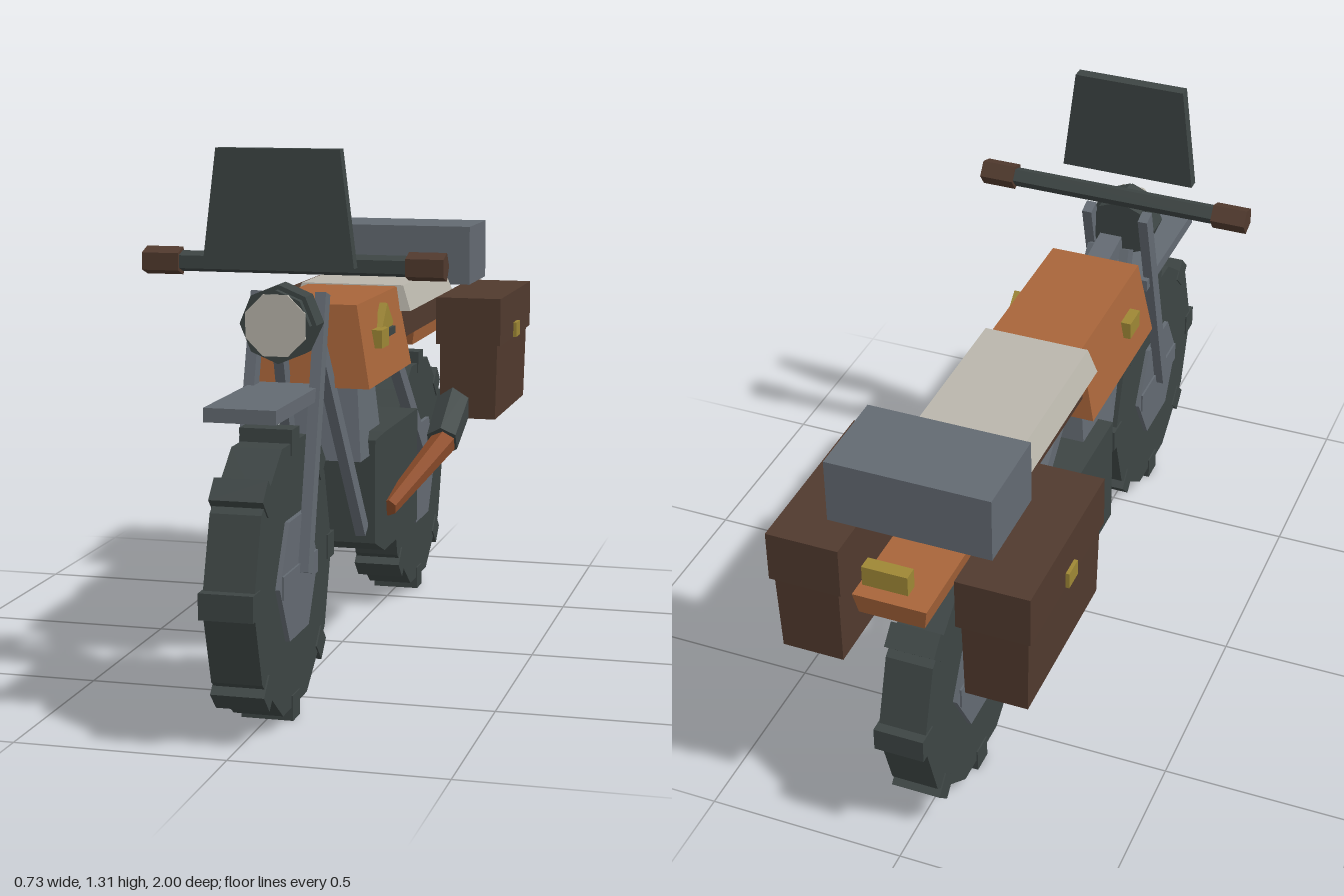
import * as THREE from 'three';

const mat = (name, color) => {
  const m = new THREE.MeshStandardMaterial({ color });
  m.name = name;
  return m;
};

export function createModel() {
  const root = new THREE.Group();
  root.name = 'motorcycle';
  const rubber = mat('dark rubber', 0x3d4544);
  const steel = mat('grey steel', 0x636a72);
  const orange = mat('orange paint', 0xa8653a);
  const rust = mat('rust pipe', 0x8c4c2a);
  const leather = mat('brown leather', 0x513a2e);
  const cream = mat('cream', 0xbab6ac);
  const brass = mat('brass', 0x9e8735);

  // Adds a faceted mesh
  function add(name, geo, material, x = 0, y = 0, z = 0, parent = root) {
    const g = geo.index ? geo.toNonIndexed() : geo;
    g.computeVertexNormals();
    const m = new THREE.Mesh(g, material);
    m.name = name;
    m.position.set(x, y, z);
    parent.add(m);
    return m;
  }
  // Box given by its limits on each axis
  function box(name, material, [x0, x1], [y0, y1], [z0, z1], parent = root) {
    return add(name, new THREE.BoxGeometry(x1 - x0, y1 - y0, z1 - z0), material,
      (x0 + x1) / 2, (y0 + y1) / 2, (z0 + z1) / 2, parent);
  }
  // Box with separate limits for its bottom and top: [x0, x1, z0, z1]
  function tapered(name, material, y0, y1, bottom, top) {
    const g = new THREE.BoxGeometry(1, 1, 1);
    const p = g.attributes.position;
    for (let i = 0; i < p.count; i++) {
      const up = p.getY(i) > 0, r = up ? top : bottom;
      p.setXYZ(i, p.getX(i) < 0 ? r[0] : r[1], up ? y1 : y0, p.getZ(i) < 0 ? r[2] : r[3]);
    }
    return add(name, g, material);
  }
  // Places a y-aligned geometry between two points
  function span(name, material, a, b, make) {
    const A = new THREE.Vector3(...a), B = new THREE.Vector3(...b);
    const d = B.clone().sub(A);
    const m = add(name, make(d.length()), material);
    m.position.copy(A).add(B).multiplyScalar(0.5);
    m.quaternion.setFromUnitVectors(new THREE.Vector3(0, 1, 0), d.normalize());
    return m;
  }
  const bar = (w, d) => (l) => new THREE.BoxGeometry(w, l, d);
  const axleCyl = (r, w, n, start = 0) =>
    new THREE.CylinderGeometry(r, r, w, n, 1, false, start).rotateZ(Math.PI / 2);
  const lampCyl = (r, l, start = 0) =>
    new THREE.CylinderGeometry(r, r, l, 8, 1, false, start).rotateX(Math.PI / 2);

  // Wheels with tread blocks
  for (const [name, z] of [['frontWheel', 0.66], ['rearWheel', -0.635]]) {
    const wheel = new THREE.Group();
    wheel.name = name;
    wheel.position.set(0, 0.342, z);
    root.add(wheel);
    add('tyre', axleCyl(0.325, 0.118, 10), rubber, 0, 0, 0, wheel);
    add('hub', axleCyl(0.16, 0.14, 6), steel, 0, 0, 0, wheel);
    box('hubBar', steel, [-0.075, 0.075], [-0.027, 0.027], [-0.143, 0.143], wheel);
    for (let i = 0; i < 8; i++) {
      const a = i * Math.PI / 4;
      const lug = add('treadBlock', new THREE.BoxGeometry(0.125, 0.06, 0.06), rubber,
        0, Math.sin(a) * 0.311, Math.cos(a) * 0.311, wheel);
      lug.rotation.x = -a;
    }
  }

  // Fork, frame tubes and rear stays
  for (const s of [-1, 1]) {
    span('forkLeg', steel, [s * 0.082, 0.345, 0.655], [s * 0.078, 0.97, 0.48], bar(0.026, 0.04));
    span('downTube', steel, [s * 0.085, 0.33, 0.13], [s * 0.045, 0.89, 0.435], bar(0.025, 0.042));
    span('rearStay', steel, [s * 0.085, 0.82, -0.1], [s * 0.085, 0.345, -0.635], bar(0.028, 0.042));
  }
  span('backbone', steel, [0, 0.9, 0.44], [0, 0.81, -0.1], bar(0.06, 0.05));
  box('frontFender', steel, [-0.083, 0.083], [0.728, 0.76], [0.5, 0.89]);

  // Headlight
  add('headlightShell', lampCyl(0.092, 0.066), rubber, 0, 0.908, 0.553);
  add('headlightBarrel', lampCyl(0.081, 0.107), rubber, 0, 0.908, 0.552);
  add('headlightLens', lampCyl(0.077, 0.006, Math.PI / 8), cream, 0, 0.908, 0.607);

  // Windscreen
  tapered('windscreen', rubber, 1.04, 1.31,
    [-0.18, 0.18, 0.555, 0.587], [-0.147, 0.147, 0.555, 0.587]);

  // Handlebar and grips
  add('handlebar', axleCyl(0.026, 0.6, 5, Math.PI), rubber, 0, 1.035, 0.455);
  for (const s of [-1, 1])
    add('grip', axleCyl(0.035, 0.09, 5, Math.PI), leather, s * 0.32, 1.035, 0.455);

  // Tank, seat and tail
  tapered('tank', orange, 0.725, 0.925, [-0.155, 0.155, -0.11, 0.338], [-0.118, 0.118, -0.1, 0.318]);
  box('seatBase', leather, [-0.125, 0.125], [0.785, 0.868], [-0.615, -0.09]);
  tapered('seat', cream, 0.863, 0.928, [-0.157, 0.157, -0.61, -0.09], [-0.135, 0.135, -0.59, -0.1]);
  tapered('tail', orange, 0.725, 0.78, [-0.08, 0.08, -0.975, -0.45], [-0.09, 0.09, -0.985, -0.435]);
  box('tailLight', brass, [-0.055, 0.055], [0.83, 0.88], [-1, -0.965]);

  // Tank badges, with a plain emblem on the left side
  for (const s of [-1, 1]) box('tankBadge', brass, s > 0 ? [0.12, 0.158] : [-0.158, -0.12], [0.808, 0.853], [0.152, 0.222]);
  const fin = new THREE.Shape([[-0.165, 0.853], [-0.115, 0.908], [-0.05, 0.853], [-0.09, 0.822], [-0.155, 0.822]]
    .map(([x, y]) => new THREE.Vector2(x, y)));
  const emblem = new THREE.ExtrudeGeometry(fin, { depth: 0.02, bevelEnabled: false }).rotateY(Math.PI / 2);
  add('tankEmblem', emblem, brass, 0.125, 0, 0);
  box('emblemBar', rubber, [0.13, 0.153], [0.826, 0.845], [0.06, 0.15]);

  // Engine block with bevelled edges, and the cylinder above it
  const b = 0.02, ex = 0.135 - b, ey = 0.152 - b;
  const block = new THREE.Shape([[-ex, -ey], [ex, -ey], [ex, ey], [-ex, ey]]
    .map(([x, y]) => new THREE.Vector2(x, y)));
  const engine = new THREE.ExtrudeGeometry(block,
    { depth: 0.41 - 2 * b, bevelSize: b, bevelThickness: b, bevelSegments: 1 });
  add('engine', engine, rubber, 0, 0.427, -0.295 + b);
  tapered('engineCylinder', steel, 0.52, 0.73, [-0.1, 0.1, -0.02, 0.205], [-0.08, 0.08, 0, 0.165]);

  // Exhaust on the left side
  span('exhaustPipe', rust, [0.14, 0.38, 0.075], [0.193, 0.48, -0.345],
    (l) => new THREE.CylinderGeometry(0.036, 0.022, l, 6));
  span('muffler', rubber, [0.19, 0.48, -0.335], [0.185, 0.61, -0.62],
    (l) => new THREE.CylinderGeometry(0.055, 0.045, l, 6));

  // Luggage: side cases with lids and latches, and the top case
  for (const s of [-1, 1]) {
    const r = (a, c) => (s > 0 ? [a, c] : [-c, -a]);
    tapered('sideCase', leather, 0.52, 0.73,
      [...r(0.152, 0.305), -0.93, -0.488], [...r(0.15, 0.31), -0.935, -0.485]);
    box('sideCaseLid', leather, r(0.14, 0.319), [0.725, 0.854], [-0.945, -0.48]);
    box('latch', brass, r(0.3, 0.328), [0.725, 0.766], [-0.732, -0.678]);
  }
  box('topCase', steel, [-0.2, 0.2], [0.873, 1.035], [-0.87, -0.638]);

  return root;
}
